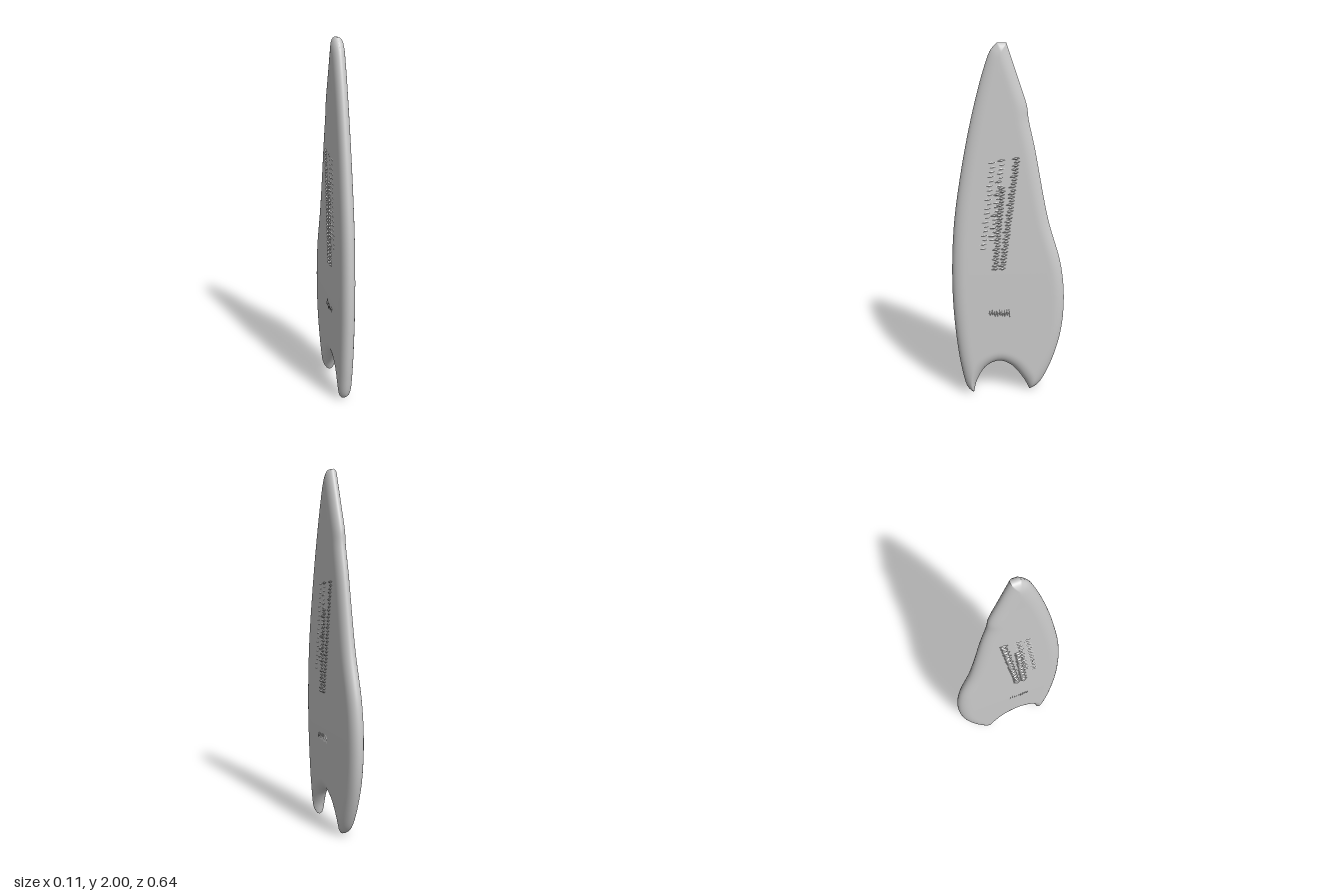
import * as THREE from 'three';
import { mergeGeometries, mergeVertices } from 'three/addons/utils/BufferGeometryUtils.js';

const curve = (pts) => new THREE.CatmullRomCurve3(pts.map(([z, y]) => new THREE.Vector3(0, y, z)));

// Four edges of the fin as [z, y], all running front to back or bottom to top
const frontEdge = curve([[0.21, 0], [0.243, 0.03], [0.28, 0.17], [0.312, 0.44], [0.322, 0.7], [0.307, 1.02],
  [0.26, 1.34], [0.2, 1.63], [0.138, 1.86], [0.1, 1.96], [0.065, 2]]);
const backEdge = curve([[-0.12, 0], [-0.17, 0.03], [-0.23, 0.13], [-0.296, 0.33], [-0.317, 0.55], [-0.296, 0.77],
  [-0.217, 1.05], [-0.138, 1.45], [-0.102, 1.61], [-0.095, 1.67], [-0.042, 1.83], [0.016, 2]]);
const notch = curve([[0.21, 0], [0.19, 0.08], [0.138, 0.165], [0.063, 0.197], [-0.01, 0.165], [-0.085, 0.07], [-0.12, 0]]);
const tip = curve([[0.065, 2], [0.04, 2], [0.016, 2]]);

// Half thickness of the flat faces, thinning toward the tip
const halfThickness = (y) => 0.046 - 0.008 * THREE.MathUtils.smoothstep(y, 0.5, 1.8);

function bladeGeometry() {
  const nu = 44, nv = 110, edgeRadius = 0.07;
  const spread = (i, n) => (1 - Math.cos((Math.PI * i) / n)) / 2;
  const us = Array.from({ length: nu + 1 }, (_, i) => spread(i, nu));
  const vs = Array.from({ length: nv + 1 }, (_, i) => spread(i, nv));
  const F = vs.map((v) => frontEdge.getPointAt(v)), B = vs.map((v) => backEdge.getPointAt(v));
  const N = us.map((u) => notch.getPointAt(u)), T = us.map((u) => tip.getPointAt(u));

  // Outline segments for the distance to the rim
  const segments = [];
  for (const [c, n] of [[frontEdge, 90], [backEdge, 90], [notch, 40], [tip, 4]]) {
    const p = c.getSpacedPoints(n);
    for (let i = 0; i < n; i++) segments.push(new THREE.Line3(p[i], p[i + 1]));
  }
  const near = new THREE.Vector3();
  const rimDistance = (p) => {
    let best = Infinity;
    for (const s of segments) best = Math.min(best, s.closestPointToPoint(p, true, near).distanceToSquared(p));
    return Math.sqrt(best);
  };

  // Blend the four edges into a sheet, then swell it with a rounded rim
  const sheet = [];
  for (let j = 0; j <= nv; j++) for (let i = 0; i <= nu; i++) {
    const u = us[i], v = vs[j];
    const blend = (k) => (1 - v) * N[i][k] + v * T[i][k] + (1 - u) * F[j][k] + u * B[j][k]
      - ((1 - u) * (1 - v) * N[0][k] + u * (1 - v) * N[nu][k] + (1 - u) * v * T[0][k] + u * v * T[nu][k]);
    const p = new THREE.Vector3(0, blend('y'), blend('z'));
    if (i > 0 && i < nu && j > 0 && j < nv) {
      const t = 1 - Math.min(1, rimDistance(p) / edgeRadius);
      p.x = halfThickness(p.y) * Math.sqrt(Math.max(0, 1 - t * t));
    }
    sheet.push(p);
  }
  const positions = [], index = [], count = sheet.length;
  for (const side of [1, -1]) for (const p of sheet) positions.push(p.x * side, p.y, p.z);
  for (let j = 0; j < nv; j++) for (let i = 0; i < nu; i++) {
    const a = j * (nu + 1) + i, b = a + 1, c = b + nu + 1, d = a + nu + 1;
    index.push(a, b, c, a, c, d);
    index.push(count + a, count + c, count + b, count + a, count + d, count + c);
  }
  const g = new THREE.BufferGeometry();
  g.setAttribute('position', new THREE.Float32BufferAttribute(positions, 3));
  g.setIndex(index);
  const merged = mergeVertices(g, 1e-5);
  merged.computeVertexNormals();
  return merged;
}

// Small faceted ridge lying on one face
function ridge(side, y, z, height, width, depth, tilt) {
  const g = new THREE.OctahedronGeometry(1);
  g.scale(depth, height, width);
  g.rotateX(tilt);
  g.translate(side * halfThickness(y), y, z);
  return g;
}

// Columns of ridges: start [z, y], end [z, y], count, depth
const columns = [
  [[0.085, 0.78], [0.045, 1.24], 25, 0.009],
  [[0.045, 0.78], [-0.035, 1.4], 33, 0.009],
  [[0.15, 0.9], [0.095, 1.38], 20, 0.003],
  [[0.1, 0.95], [0.045, 1.39], 20, 0.004],
];

function ridgeGeometry(side) {
  const parts = [];
  for (const [[z0, y0], [z1, y1], n, depth] of columns) for (let i = 0; i < n; i++) {
    const t = i / (n - 1), wobble = Math.sin(i * 2.4);
    parts.push(ridge(side, y0 + (y1 - y0) * t, z0 + (z1 - z0) * t + 0.004 * wobble,
      0.007, 0.02 + 0.003 * wobble, depth * (1 + 0.2 * wobble), 0.15));
  }
  return mergeGeometries(parts);
}

// Short row of upright ridges near the base
function baseRidgeGeometry(side) {
  const parts = [];
  for (let i = 0; i < 9; i++) {
    parts.push(ridge(side, 0.515 + 0.004 * Math.sin(i * 2), 0.115 - i * 0.0137,
      0.016 + 0.0016 * i, 0.006, 0.004, 0.1));
  }
  return mergeGeometries(parts);
}

export function createModel() {
  const group = new THREE.Group();
  group.name = 'fin';
  const smooth = new THREE.MeshStandardMaterial({ color: 0xcccccc });
  const faceted = new THREE.MeshStandardMaterial({ color: 0xcccccc, flatShading: true });
  const add = (name, geometry, material) => {
    const mesh = new THREE.Mesh(geometry, material);
    mesh.name = name;
    group.add(mesh);
  };
  add('blade', bladeGeometry(), smooth);
  for (const [label, side] of [['left', 1], ['right', -1]]) {
    add(label + 'Ridges', ridgeGeometry(side), faceted);
    add(label + 'BaseRidges', baseRidgeGeometry(side), faceted);
  }
  return group;
}
